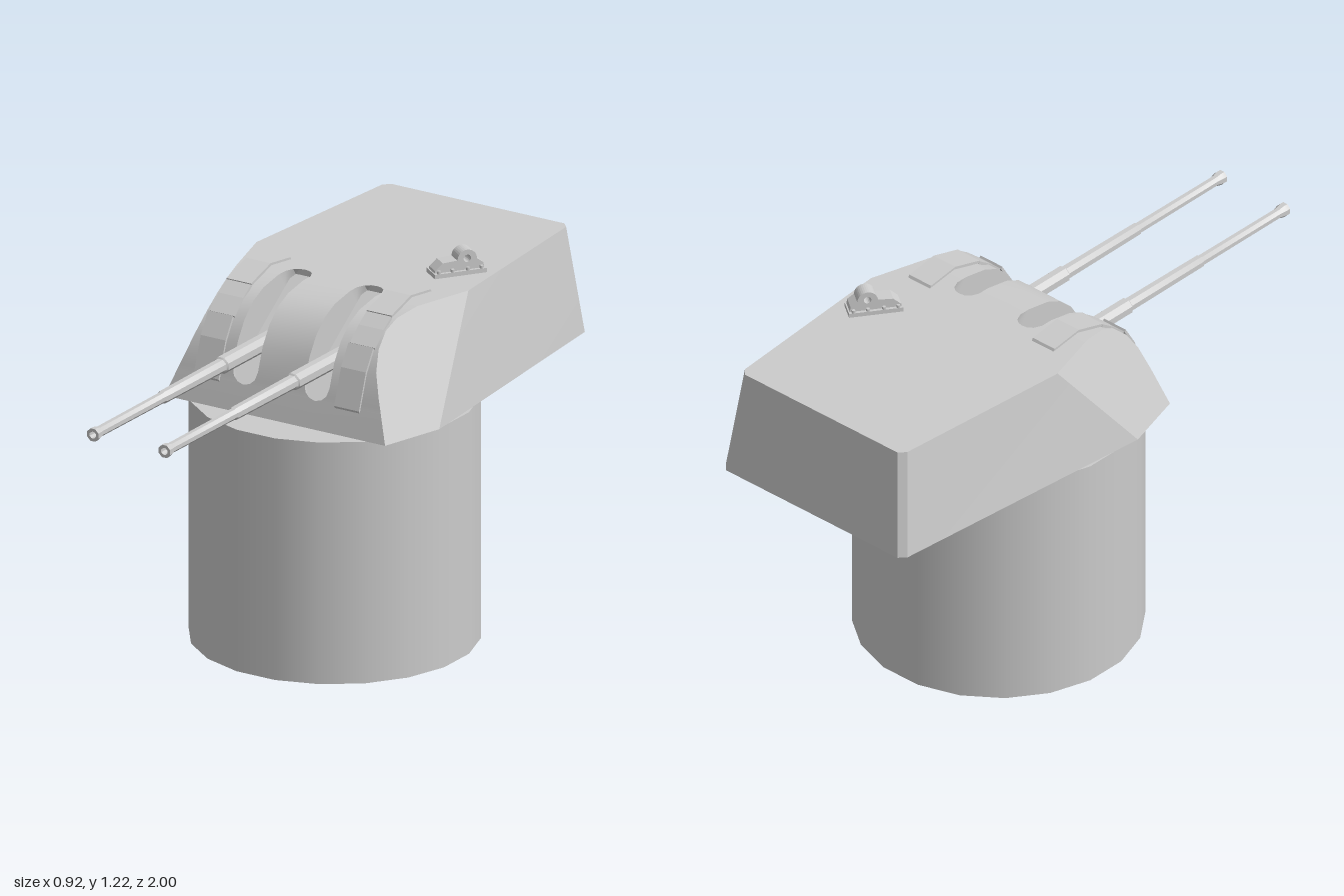
import * as THREE from 'three';
import { toCreasedNormals } from 'three/addons/utils/BufferGeometryUtils.js';

const GUN_X = 0.13, ROOF = 1.145;
const V = (x, y, z) => new THREE.Vector3(x, y, z);
const flip = (p) => V(-p.x, p.y, p.z);

// Collects convex faces as triangle fans
function faceBuilder() {
  const pos = [];
  const face = (...pts) => {
    for (let i = 1; i < pts.length - 1; i++) {
      for (const p of [pts[0], pts[i], pts[i + 1]]) pos.push(p.x, p.y, p.z);
    }
  };
  const mirrored = (...pts) => {
    face(...pts);
    face(...pts.map(flip).reverse());
  };
  const build = (crease) => {
    const g = new THREE.BufferGeometry();
    g.setAttribute('position', new THREE.Float32BufferAttribute(pos, 3));
    g.computeVertexNormals();
    return toCreasedNormals(g, crease);
  };
  return { face, mirrored, build };
}

// Front and roof section: y, z, half width of the gun slot
const rows = [
  [0.797, 0.181, 0], [0.88, 0.157, 0], [0.886, 0.155, 0.022], [0.9, 0.151, 0.038], [0.925, 0.144, 0.045],
  [1.0, 0.118, 0.045], [1.06, 0.08, 0.045], [1.105, 0.03, 0.045], [1.13, -0.025, 0.045], [ROOF, -0.11, 0.045],
  [ROOF, -0.15, 0.045], [ROOF, -0.175, 0.034], [ROOF, -0.187, 0.018], [ROOF, -0.19, 0], [ROOF, -0.31, 0],
];
// Half width where the slanted cheek plane cuts the front
const cheekX = (y, z) => 0.4 - 0.449 * (y - 0.8) - 0.286 * (z - 0.18);

function houseGeometry() {
  const b = faceBuilder();
  const skin = rows.map(([y, z, w]) => ({ y, z, w, e: cheekX(y, z) }));
  const cheek = skin.map((r) => V(r.e, r.y, r.z));
  skin.push({ y: ROOF, z: -0.935, w: 0, e: 0.335 }, { y: ROOF, z: -0.957, w: 0, e: 0.315 });

  // Front and roof, leaving two slots open
  const xs = (r) => [-r.e, -GUN_X - r.w, -GUN_X + r.w, GUN_X - r.w, GUN_X + r.w, r.e];
  for (let i = 0; i < skin.length - 1; i++) {
    const r = skin[i], s = skin[i + 1], a = xs(r), c = xs(s);
    for (const k of [0, 2, 4]) {
      b.face(V(a[k], r.y, r.z), V(a[k + 1], r.y, r.z), V(c[k + 1], s.y, s.z), V(c[k], s.y, s.z));
    }
  }
  // Cheeks, sides, clipped rear corners, back and floor
  const A = cheek[0], B = V(0.461, 0.797, -0.03), C = cheek[cheek.length - 1];
  const b1 = V(0.375, 0.797, -0.978), b2 = V(0.354, 0.797, -1);
  const t1 = V(0.335, ROOF, -0.935), t2 = V(0.315, ROOF, -0.957);
  b.mirrored(B, ...cheek.slice().reverse());
  b.mirrored(B, b1, t1, C);
  b.mirrored(b1, b2, t2, t1);
  b.face(b2, flip(b2), flip(t2), t2);
  const half = [A, B, b1, b2];
  b.face(...half.map(flip), ...half.slice().reverse());
  return b.build(0.42);
}

// Walls of one gun slot, dropping to a flat sloping bed
function portGeometry() {
  const b = faceBuilder();
  const low = V(0, 0.88, 0.157), bed = new THREE.Line3(low, V(0, 1.125, -0.19));
  const inner = (x, r) => bed.closestPointToPoint(V(0, r[0], r[1]), true, V(0, 0, 0)).setX(x);
  for (let i = 0; i < rows.length - 1; i++) {
    const r = rows[i], s = rows[i + 1];
    if (r[2] + s[2] === 0) continue;
    b.mirrored(V(r[2], r[0], r[1]), V(s[2], s[0], s[1]), inner(s[2], s), inner(r[2], r));
    b.face(inner(-r[2], r), inner(r[2], r), inner(s[2], s), inner(-s[2], s));
  }
  return b.build(0.5);
}

// Thin plate following a [z, y] line, extruded across x
function plateGeometry(line, width, t) {
  const top = line.map(([z, y]) => new THREE.Vector2(-z, y));
  const under = top.map((p) => new THREE.Vector2(p.x + t * 0.6, p.y - t)).reverse();
  const g = new THREE.ExtrudeGeometry(new THREE.Shape([...top, ...under]), { depth: width, bevelEnabled: false });
  g.translate(0, 0, -width / 2);
  return g.rotateY(Math.PI / 2);
}

export function createModel() {
  const model = new THREE.Group();
  model.name = 'gunTurret';
  const mat = new THREE.MeshStandardMaterial({ color: 0xcccccc });
  const open = new THREE.MeshStandardMaterial({ color: 0xcccccc, side: THREE.DoubleSide });
  const add = (name, geo, material = mat, parent = model) => {
    const m = new THREE.Mesh(geo, material);
    m.name = name;
    parent.add(m);
    return m;
  };

  // Open-bottomed drum below the turret, its lid seen from both sides
  const drum = add('barbetteWall', new THREE.CylinderGeometry(0.448, 0.448, 0.787, 20, 1, true).rotateY(Math.PI / 20), open);
  drum.position.set(0, 0.3935, -0.155);
  const lid = add('barbetteTop', new THREE.CircleGeometry(0.448, 20).rotateX(-Math.PI / 2).rotateY(Math.PI / 20), open);
  lid.position.set(0, 0.787, -0.155);

  add('turretHouse', houseGeometry());

  // Eight-sided stepped barrel with a small muzzle collar and bore
  const barrel = new THREE.LatheGeometry([
    [0, -0.04], [0.028, -0.04], [0.028, 0.28], [0.023, 0.285], [0.021, 0.61], [0.018, 0.615],
    [0.017, 0.965], [0.022, 0.985], [0.022, 1], [0.012, 1], [0.012, 0.95], [0, 0.95],
  ].map(([r, y]) => new THREE.Vector2(r, y)), 8).rotateY(Math.PI / 8).rotateX(Math.PI / 2);
  const barrelGeo = toCreasedNormals(barrel, 0.6);
  const portGeo = portGeometry();
  const plates = [
    [[0.172, 0.885], [0.133, 1.0], [0.092, 1.067]],
    [[0.084, 1.064], [0.034, 1.107], [-0.01, 1.137]],
    [[-0.01, 1.14], [-0.12, 1.172], [-0.23, 1.157]],
  ];
  for (const [side, s] of [['left', 1], ['right', -1]]) {
    add(side + 'GunPort', portGeo, open).position.x = s * GUN_X;
    add(side + 'Barrel', barrelGeo).position.set(s * GUN_X, 0.982, 0);
    plates.forEach((line, i) => {
      add(side + 'CoverPlate' + (i + 1), plateGeometry(line, 0.09, 0.008), open).position.x = s * 0.255;
    });
  }

  // Roof sight: foot plate with bolts, and a humped bracket with an eye
  const sight = new THREE.Group();
  sight.name = 'roofSight';
  sight.position.set(0.268, ROOF, -0.425);
  sight.rotation.y = 0.95;
  model.add(sight);
  add('sightFoot', new THREE.BoxGeometry(0.17, 0.014, 0.07), mat, sight).position.y = 0.007;
  const hump = new THREE.Shape();
  hump.moveTo(-0.082, 0.005);
  hump.lineTo(-0.08, 0.022);
  hump.lineTo(-0.055, 0.044);
  hump.lineTo(-0.008, 0.047);
  hump.absarc(0.025, 0.046, 0.032, Math.PI, 0, true);
  hump.lineTo(0.078, 0.03);
  hump.lineTo(0.082, 0.005);
  hump.holes.push(new THREE.Path().absarc(0.025, 0.05, 0.012, 0, Math.PI * 2));
  const humpGeo = new THREE.ExtrudeGeometry(hump, { depth: 0.05, bevelEnabled: false, curveSegments: 8 });
  add('sightBracket', humpGeo.translate(0, 0, -0.025), mat, sight);
  const boltGeo = new THREE.CylinderGeometry(0.006, 0.006, 0.01, 6);
  for (const x of [-0.07, -0.025, 0.025, 0.07]) {
    for (const z of [-0.03, 0.03]) add('sightBolt', boltGeo, mat, sight).position.set(x, 0.018, z);
  }
  return model;
}
